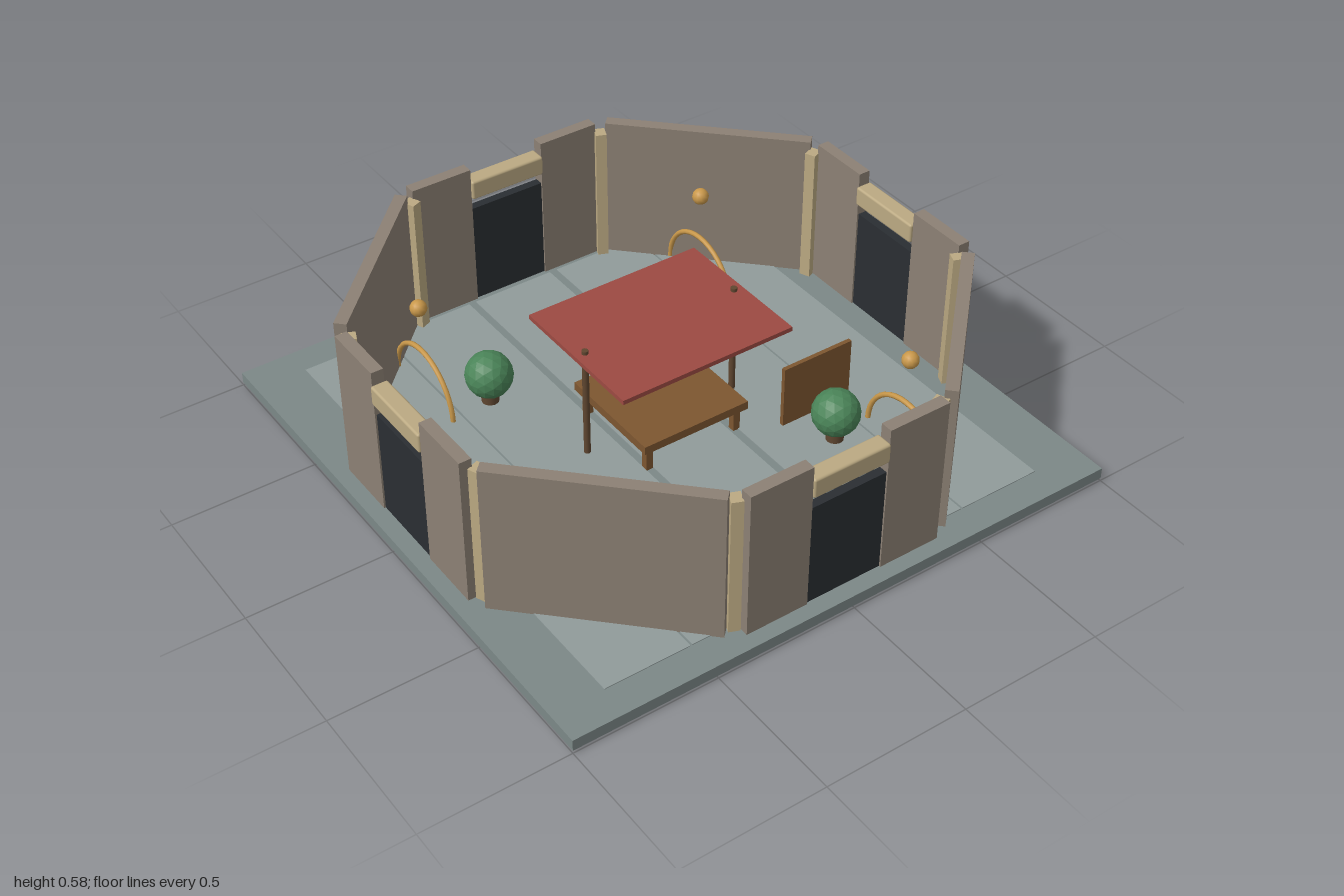
import * as THREE from 'three';
import { RoundedBoxGeometry } from 'three/addons/geometries/RoundedBoxGeometry.js';

const mat = (color, flatShading = false) => new THREE.MeshStandardMaterial({ color, flatShading });
const M = {
  slab: mat(0x7c8887), tile: mat(0x909b9a), wall: mat(0x8c8074), trim: mat(0xbba982),
  door: mat(0x2a2e32), cloth: mat(0x9c4a42), wood: mat(0x7d5630), post: mat(0x5f4630),
  gold: mat(0xc9984a), leaf: mat(0x4a8458, true),
};

export function createModel() {
  const root = new THREE.Group();
  root.name = 'courtyard';

  const add = (name, geo, material, x, y, z, parent = root) => {
    const mesh = new THREE.Mesh(geo, material);
    mesh.name = name;
    mesh.position.set(x, y, z);
    parent.add(mesh);
    return mesh;
  };
  const box = (name, w, h, d, material, x, y, z, parent) =>
    add(name, new THREE.BoxGeometry(w, h, d), material, x, y, z, parent);
  const rod = (name, r, h, material, x, y, z) =>
    add(name, new THREE.CylinderGeometry(r, r, h, 12), material, x, y, z);

  // Ground slab with five paving strips
  box('groundSlab', 2, 0.04, 2, M.slab, 0, 0.03, 0);
  for (const [x0, x1] of [[-0.82, -0.52], [-0.513, -0.183], [-0.157, 0.148], [0.176, 0.508], [0.515, 0.815]]) {
    box('pavingStrip', x1 - x0, 0.006, 1.78, M.tile, (x0 + x1) / 2, 0.05, 0);
  }

  // Eight-sided enclosure: each quarter has a doorway side and a diagonal wall
  for (let i = 0; i < 4; i++) {
    const side = new THREE.Group();
    side.name = 'enclosureQuarter';
    side.rotation.y = i * Math.PI / 2;
    root.add(side);
    for (const s of [-1, 1]) {
      box('doorwayPanel', 0.222, 0.53, 0.042, M.wall, s * 0.25, 0.315, 0.926, side);
      const pillar = box('cornerPillar', 0.038, 0.5, 0.045, M.trim, s * 0.373, 0.3, 0.894, side);
      pillar.rotation.y = s * Math.PI / 8;
    }
    box('door', 0.28, 0.37, 0.03, M.door, 0, 0.235, 0.926, side);
    add('lintel', new RoundedBoxGeometry(0.28, 0.07, 0.06, 2, 0.008), M.trim, 0, 0.5, 0.924, side);
    const diagonal = box('diagonalWall', 0.71, 0.53, 0.042, M.wall, 0.653, 0.315, 0.657, side);
    diagonal.rotation.y = Math.PI / 4;
  }

  // Shrubs, lamps and ground hoops, one in each corner
  for (const sx of [-1, 1]) {
    for (const sz of [-1, 1]) {
      rod('shrubTrunk', 0.03, 0.12, M.post, sx * 0.4, 0.06, sz * 0.4);
      add('shrub', new THREE.IcosahedronGeometry(0.081, 2), M.leaf, sx * 0.4, 0.16, sz * 0.4);
      add('lamp', new THREE.SphereGeometry(0.029, 12, 8), M.gold, sx * 0.556, 0.4, sz * 0.555);
      const hoop = add('groundHoop', new THREE.TorusGeometry(0.178, 0.009, 8, 20, Math.PI),
        M.gold, sx * 0.556, 0.05, sz * 0.555);
      hoop.rotation.y = Math.PI / 2;
    }
  }

  // Canopy on two posts
  box('canopy', 0.64, 0.016, 0.526, M.cloth, 0, 0.44, -0.003);
  for (const s of [-1, 1]) rod('canopyPost', 0.011, 0.41, M.post, s * 0.285, 0.255, 0);

  // Table under the canopy
  box('tableTop', 0.4, 0.03, 0.4, M.wood, 0, 0.15, 0);
  for (const sx of [-1, 1]) {
    for (const sz of [-1, 1]) box('tableLeg', 0.025, 0.085, 0.025, M.wood, sx * 0.17, 0.0925, sz * 0.17);
  }

  // Upright board beside the table
  box('standingBoard', 0.27, 0.23, 0.015, M.wood, 0.437, 0.165, 0.248);

  return root;
}
